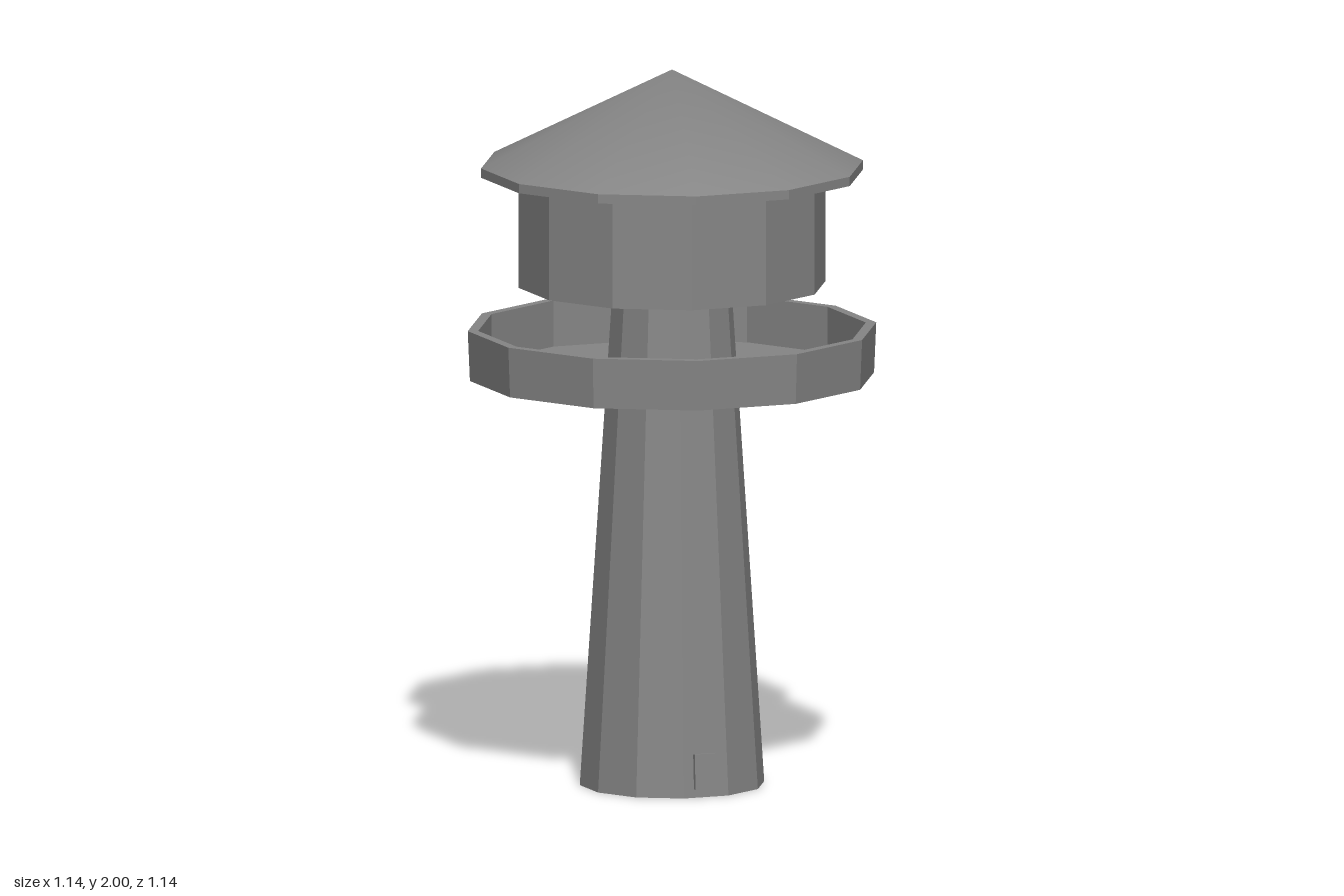
import * as THREE from 'three';
import { mergeVertices } from 'three/addons/utils/BufferGeometryUtils.js';

const SIDES = 12;
const GREY = 0x858585;
const flat = new THREE.MeshStandardMaterial({ color: GREY, flatShading: true });
const smooth = new THREE.MeshStandardMaterial({ color: GREY });

export function createModel() {
  const model = new THREE.Group();
  const add = (name, geometry, material = flat) => {
    const mesh = new THREE.Mesh(geometry, material);
    mesh.name = name;
    model.add(mesh);
    return mesh;
  };
  // Twelve-sided drum standing between two heights
  const drum = (name, rTop, rBottom, y0, y1) => {
    const geometry = new THREE.CylinderGeometry(rTop, rBottom, y1 - y0, SIDES);
    return add(name, geometry.translate(0, (y0 + y1) / 2, 0));
  };

  // Tapered shaft and the cabin on top of it
  drum('tower', 0.165, 0.257, 0, 1.4);
  drum('cabin', 0.427, 0.427, 1.397, 1.708);

  // Gallery: a shallow tray with a thin upright parapet
  const tray = [
    [0, 1.139], [0.563, 1.139], [0.569, 1.279], [0.54, 1.279], [0.54, 1.15], [0, 1.15],
  ].map(([r, y]) => new THREE.Vector2(r, y));
  add('gallery', new THREE.LatheGeometry(tray, SIDES));

  // Roof: thin eave and a cone with one shared, smooth apex
  drum('eave', 0.532, 0.532, 1.708, 1.734);
  const cone = new THREE.ConeGeometry(0.532, 0.266, SIDES, 1, true);
  cone.deleteAttribute('normal');
  cone.deleteAttribute('uv');
  const roof = mergeVertices(cone);
  roof.computeVertexNormals();
  add('roof', roof.translate(0, 1.867, 0), smooth);

  // Door panel on the front facet, leaning with the wall
  const door = add('door', new THREE.BoxGeometry(0.066, 0.098, 0.026));
  const facet = Math.PI / SIDES;
  door.rotation.set(-0.063, facet, 0, 'YXZ');
  door.position.set(0.06, 0.072, 0.235);

  return model;
}
